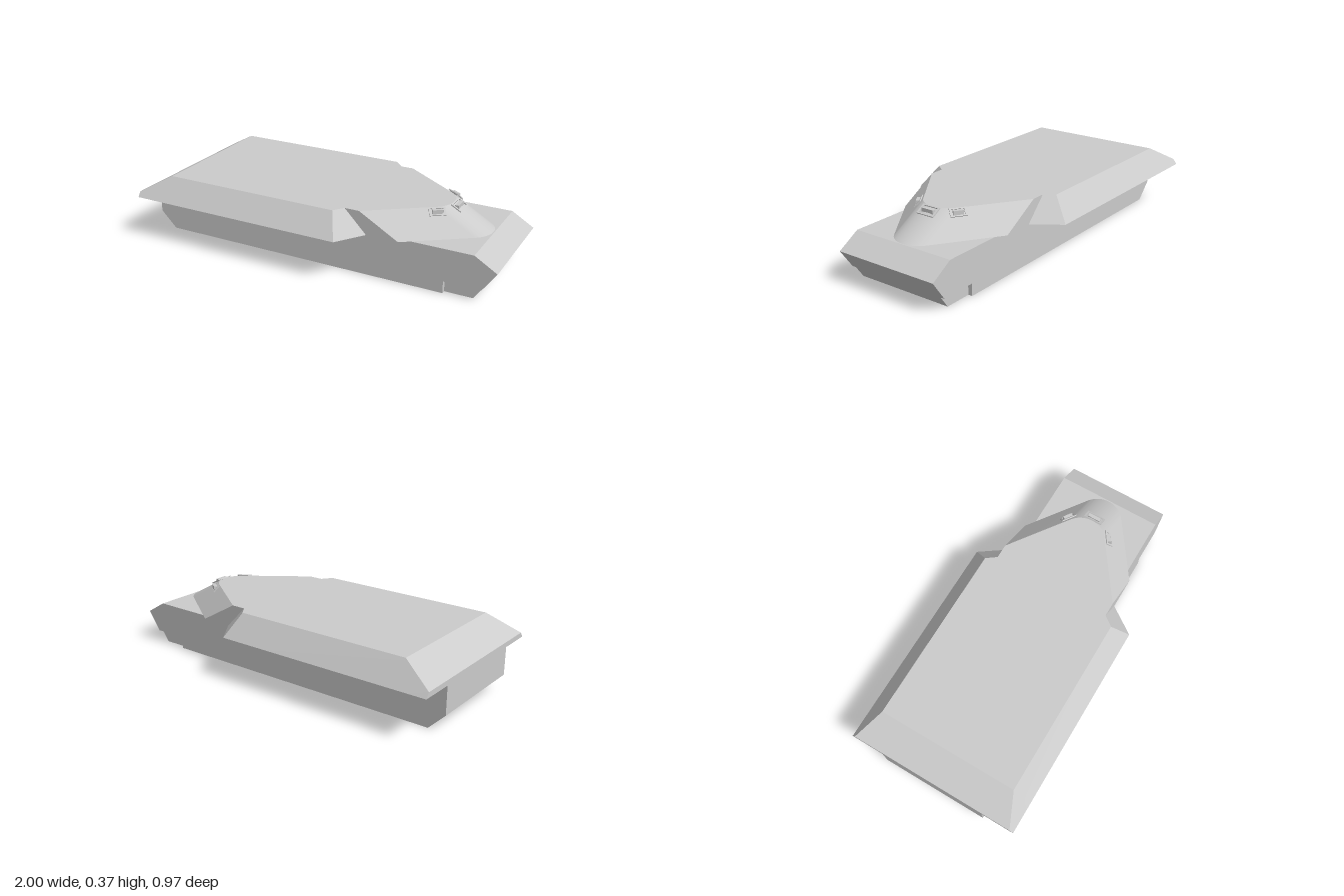
import * as THREE from 'three';
import { toCreasedNormals } from 'three/addons/utils/BufferGeometryUtils.js';

const material = new THREE.MeshStandardMaterial({ color: 0xcccccc });
const DECK = 0.365, SILL = 0.242;

function add(parent, name, geometry) {
  const mesh = new THREE.Mesh(geometry, material);
  mesh.name = name;
  parent.add(mesh);
  return mesh;
}

// Side profile [x, y] extruded across z
function slab(points, z0, z1) {
  const shape = new THREE.Shape(points.map(([x, y]) => new THREE.Vector2(x, y)));
  const g = new THREE.ExtrudeGeometry(shape, { depth: z1 - z0, bevelEnabled: false });
  return g.translate(0, 0, z0);
}

// Joins stations [bottom x, bottom z, top x, top z, top y], mirrored in z
function loft(stations) {
  const rings = stations.map(([xb, zb, xt, zt, yt]) => [
    [xb, SILL, zb], [xt, yt, zt], [xt, yt, -zt], [xb, SILL, -zb],
  ]);
  const pos = [];
  const quad = (a, b, c, d) => pos.push(...a, ...b, ...c, ...a, ...c, ...d);
  quad(...rings[0]);
  for (let i = 0; i < rings.length - 1; i++) {
    const p = rings[i], q = rings[i + 1];
    for (let k = 0; k < 4; k++) {
      const n = (k + 1) % 4;
      quad(p[k], q[k], q[n], p[n]);
    }
  }
  const g = new THREE.BufferGeometry();
  g.setAttribute('position', new THREE.Float32BufferAttribute(pos, 3));
  g.computeVertexNormals();
  return toCreasedNormals(g, 0.3);
}

// Low rim lying on the sloped armour with an upright viewing block inside
function periscope(name, x, y, z, heading, tilt, length, width, depth) {
  const group = new THREE.Group();
  group.name = name;
  group.position.set(x, y, z);
  group.rotation.y = heading;

  const rect = (Type, w, l) => new Type([
    new THREE.Vector2(-w, -l), new THREE.Vector2(w, -l),
    new THREE.Vector2(w, l), new THREE.Vector2(-w, l),
  ]);
  const shape = rect(THREE.Shape, width / 2, length / 2);
  shape.holes.push(rect(THREE.Path, width / 2 - 0.007, length / 2 - 0.01));
  const rim = new THREE.ExtrudeGeometry(shape, { depth: 0.006, bevelEnabled: false });
  rim.rotateX(-Math.PI / 2);
  add(group, 'periscopeRim', rim).rotation.z = -tilt;

  add(group, 'periscopeBlock', new THREE.BoxGeometry(depth, 0.026, length - 0.034));
  return group;
}

export function createModel() {
  const model = new THREE.Group();
  model.name = 'armouredHull';

  // Lower hull: full profile in the middle, side plates notched at the front
  const hull = new THREE.Group();
  hull.name = 'lowerHull';
  model.add(hull);
  const upper = [[1, 0.17], [0.88, SILL], [-1, SILL], [-1, 0.09], [-0.91, 0]];
  add(hull, 'hullCore', slab([[0.88, 0], ...upper], -0.275, 0.275));
  const notched = [[0.73, 0], [0.73, 0.065], [0.926, 0.065], ...upper];
  add(hull, 'leftSidePlate', slab(notched, 0.275, 0.298));
  add(hull, 'rightSidePlate', slab(notched, -0.298, -0.275));

  // Upper hull: sponsons, stepped shoulders and the swept, rounded nose
  const sweep = 0.215, radius = 0.133, centre = 0.742;
  const stations = [
    [-1, 0.485, -1, 0.465, 0.27],
    [-0.83, 0.485, -0.83, 0.39, DECK],
    [0.22, 0.485, 0.165, 0.39, DECK],
    [0.325, 0.335, 0.205, 0.335, DECK],
    [0.5, 0.335, 0.5 - sweep, 0.335, DECK],
  ];
  const arc = 0.972, steps = 12;
  for (let i = 0; i <= steps; i++) {
    const a = arc * (1 - i / steps);
    const x = centre + radius * Math.cos(a), z = radius * Math.sin(a);
    stations.push([x, z, x - sweep, z, DECK]);
  }
  add(model, 'upperHull', loft(stations));

  // Driver's periscopes around the nose
  model.add(periscope('centrePeriscope', 0.687, 0.349, 0, 0, 0.52, 0.106, 0.062, 0.02));
  for (const side of [1, -1]) {
    const name = side > 0 ? 'leftPeriscope' : 'rightPeriscope';
    model.add(periscope(name, 0.617, 0.349, side * 0.127, -side * arc, 0.79, 0.085, 0.046, 0.024));
  }
  return model;
}
